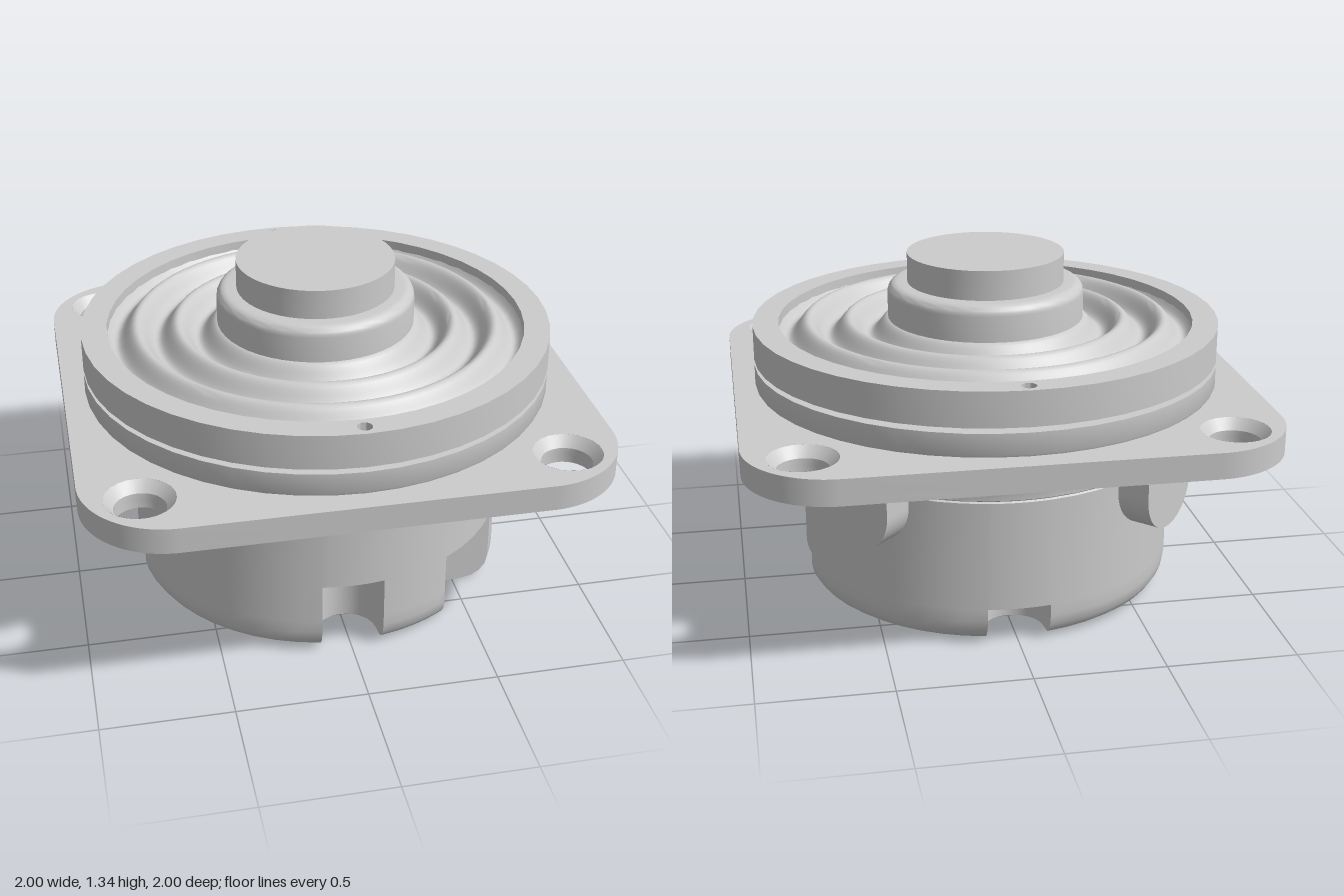
import * as THREE from 'three';
import { toCreasedNormals } from 'three/addons/utils/BufferGeometryUtils.js';

const SEG = 48;
const material = new THREE.MeshStandardMaterial({ color: 0xcccccc });
const thin = new THREE.MeshStandardMaterial({ color: 0xcccccc, side: THREE.DoubleSide });
const inside = new THREE.MeshStandardMaterial({ color: 0xcccccc, side: THREE.BackSide });

function part(group, name, geometry, mat = material) {
  const mesh = new THREE.Mesh(toCreasedNormals(geometry, 0.6), mat);
  mesh.name = name;
  group.add(mesh);
  return mesh;
}

const lathe = (pts, seg = SEG) =>
  new THREE.LatheGeometry(pts.map(([r, y]) => new THREE.Vector2(r, y)), seg);

const circle = (x, y, r) => new THREE.Path().absarc(x, y, r, 0, Math.PI * 2, true);

// Extrude a plan shape upwards from y0 to y1
function slab(shape, y0, y1) {
  const g = new THREE.ExtrudeGeometry(shape, { depth: y1 - y0, bevelEnabled: false, curveSegments: 24 });
  return g.rotateX(-Math.PI / 2).translate(0, y0, 0);
}

// Body outline in plan at radius R; each cutout keeps its point count when closed.
// The wall column that holds the socket window is returned as an index.
const HALF = 0.12, CORNER_X = 0.39, CORNER_Z = 0.36;
function outline(R, stage) {
  const pts = [];
  let windowIndex = 0, last = null;
  const onArc = (a) => [R * Math.cos(a), R * Math.sin(a)];
  const feature = (a0, a1, cut, open) => {
    if (last !== null) for (let i = 1; i < 10; i++) pts.push(onArc(last + (a0 - last) * i / 10));
    pts.push(onArc(a0));
    cut.forEach((p, i) => pts.push(open ? p : onArc(a0 + (a1 - a0) * (i + 1) / (cut.length + 1))));
    pts.push(onArc(a1));
    last = a1;
  };
  // Round-ended channel facing the given direction
  const channel = (dir, open) => {
    const a = Math.asin(HALF / R), cut = [];
    for (let i = 0; i <= 10; i++) {
      const t = Math.PI * i / 10;
      const u = 0.62 - HALF * Math.sin(t), v = -HALF * Math.cos(t);
      cut.push([u * Math.cos(dir) - v * Math.sin(dir), u * Math.sin(dir) + v * Math.cos(dir)]);
    }
    feature(dir - a, dir + a, cut, open);
  };
  channel(0, stage < 1);
  // Square corner cutout
  const edge = Math.sqrt(R * R - CORNER_X * CORNER_X);
  windowIndex = pts.length + 11;
  feature(Math.asin(CORNER_Z / R), Math.acos(CORNER_X / R),
    [[CORNER_X, CORNER_Z], [CORNER_X, 0.41], [CORNER_X, Math.min(0.59, edge - 0.01)]], stage < 2);
  channel(Math.PI / 2, stage < 2);
  channel(Math.PI, stage < 1);
  channel(Math.PI * 1.5, stage < 1);
  const end = Math.PI * 2 - Math.asin(HALF / R);
  for (let i = 1; i < 10; i++) pts.push(onArc(last + (end - last) * i / 10));
  return { pts, windowIndex };
}

// Stitch the outlines at successive heights: [y, radius, stage]
function bodyGeometry() {
  const levels = [
    [0, 0.64, 0], [0.01, 0.684, 0], [0.03, 0.712, 0], [0.06, 0.732, 0], [0.1, 0.74, 0],
    [0.15, 0.74, 0], [0.15, 0.74, 1], [0.27, 0.74, 1], [0.31, 0.74, 1], [0.31, 0.74, 2],
    [0.58, 0.74, 2], [0.585, 0.732, 2], [0.59, 0.738, 2], [0.66, 0.74, 2],
    [0.695, 0.76, 2], [0.715, 0.785, 2], [0.73, 0.82, 2],
  ];
  const position = [], index = [];
  const rings = levels.map(([, R, stage]) => outline(R, stage));
  const n = rings[0].pts.length;
  rings.forEach((ring, l) => ring.pts.forEach(([x, z]) => position.push(x, levels[l][0], z)));
  for (let l = 0; l < levels.length - 1; l++) {
    for (let i = 0; i < n; i++) {
      const inWindow = levels[l][0] >= 0.06 && levels[l + 1][0] <= 0.27;
      if (inWindow && i === rings[0].windowIndex) continue;
      const a = l * n + i, b = l * n + (i + 1) % n;
      index.push(a, a + n, b, b, a + n, b + n);
    }
  }
  const g = new THREE.BufferGeometry();
  g.setAttribute('position', new THREE.Float32BufferAttribute(position, 3));
  g.setIndex(index);
  g.computeVertexNormals();
  return g;
}

export function createModel() {
  const model = new THREE.Group();
  model.name = 'flangedActuator';

  // Housing with its notches, underside and shallow round recess
  part(model, 'housing', bodyGeometry());
  const base = new THREE.Shape(outline(0.64, 0).pts.map(([x, z]) => new THREE.Vector2(x, z)));
  base.holes.push(circle(0, 0, 0.38));
  part(model, 'housingBase', new THREE.ShapeGeometry(base, 24).rotateX(Math.PI / 2));
  part(model, 'baseRecess', lathe([[0, 0.03], [0.35, 0.03], [0.38, 0]]), thin);

  // Square socket in the corner cutout, open towards +x
  part(model, 'socket', new THREE.BoxGeometry(0.2, 0.21, 0.18).translate(0.29, 0.165, 0.5), inside);

  // Round-bottomed bosses below the two back corners
  const boss = new THREE.Shape();
  boss.moveTo(0.16, 0.74);
  boss.lineTo(-0.16, 0.74);
  boss.lineTo(-0.16, 0.54);
  boss.absarc(0, 0.54, 0.16, Math.PI, Math.PI * 2, false);
  boss.closePath();
  for (const side of [-1, 1]) {
    const g = new THREE.ExtrudeGeometry(boss, { depth: 0.3, bevelEnabled: false, curveSegments: 16 });
    g.translate(0, 0, 0.55);
    part(model, side > 0 ? 'leftBoss' : 'rightBoss', g).rotation.y = side * Math.PI * 0.75;
  }

  // Square mounting flange with countersunk corner holes
  const flange = (holeRadius) => {
    const s = new THREE.Shape(), c = 0.67, r = 0.33;
    s.absarc(c, c, r, 0, Math.PI / 2, false);
    s.absarc(-c, c, r, Math.PI / 2, Math.PI, false);
    s.absarc(-c, -c, r, Math.PI, Math.PI * 1.5, false);
    s.absarc(c, -c, r, Math.PI * 1.5, Math.PI * 2, false);
    s.closePath();
    for (const x of [-0.785, 0.785]) for (const y of [-0.785, 0.785]) s.holes.push(circle(x, y, holeRadius));
    return s;
  };
  part(model, 'flangeLower', slab(flange(0.095), 0.73, 0.76));
  part(model, 'flangeUpper', slab(flange(0.13), 0.76, 0.83));
  for (const x of [-0.785, 0.785]) {
    for (const z of [-0.785, 0.785]) {
      part(model, 'countersink', lathe([[0.095, 0.76], [0.095, 0.79], [0.13, 0.83]], 24).translate(x, 0, z), thin);
    }
  }

  // Lower ring, a narrow gap, then the clamping ring with two pin holes
  part(model, 'lowerRing', lathe([[0.905, 0.82], [0.915, 0.84], [0.915, 0.92], [0, 0.92]]));
  const ring = new THREE.Shape().absarc(0, 0, 0.915, 0, Math.PI * 2, false);
  ring.holes.push(circle(0, 0, 0.815), circle(0, 0.865, 0.028), circle(0, -0.865, 0.028));
  part(model, 'clampRing', slab(ring, 0.94, 1.075));

  // Corrugated diaphragm
  const wave = [];
  for (let i = 0; i <= 44; i++) {
    const r = 0.82 - 0.44 * i / 44;
    wave.push([r, 1.045 + 0.036 * Math.cos((r - 0.54) / 0.16 * Math.PI * 2)]);
  }
  part(model, 'diaphragm', lathe(wave, 64), thin);

  // Collar with rounded shoulder, and the plunger
  const collar = [[0.385, 1.0]];
  for (let i = 0; i <= 6; i++) {
    const a = Math.PI / 2 * i / 6;
    collar.push([0.345 + 0.04 * Math.cos(a), 1.18 + 0.04 * Math.sin(a)]);
  }
  collar.push([0.3, 1.22]);
  part(model, 'collar', lathe(collar));
  part(model, 'plunger', new THREE.CylinderGeometry(0.307, 0.307, 0.185, SEG).translate(0, 1.2425, 0));

  return model;
}
